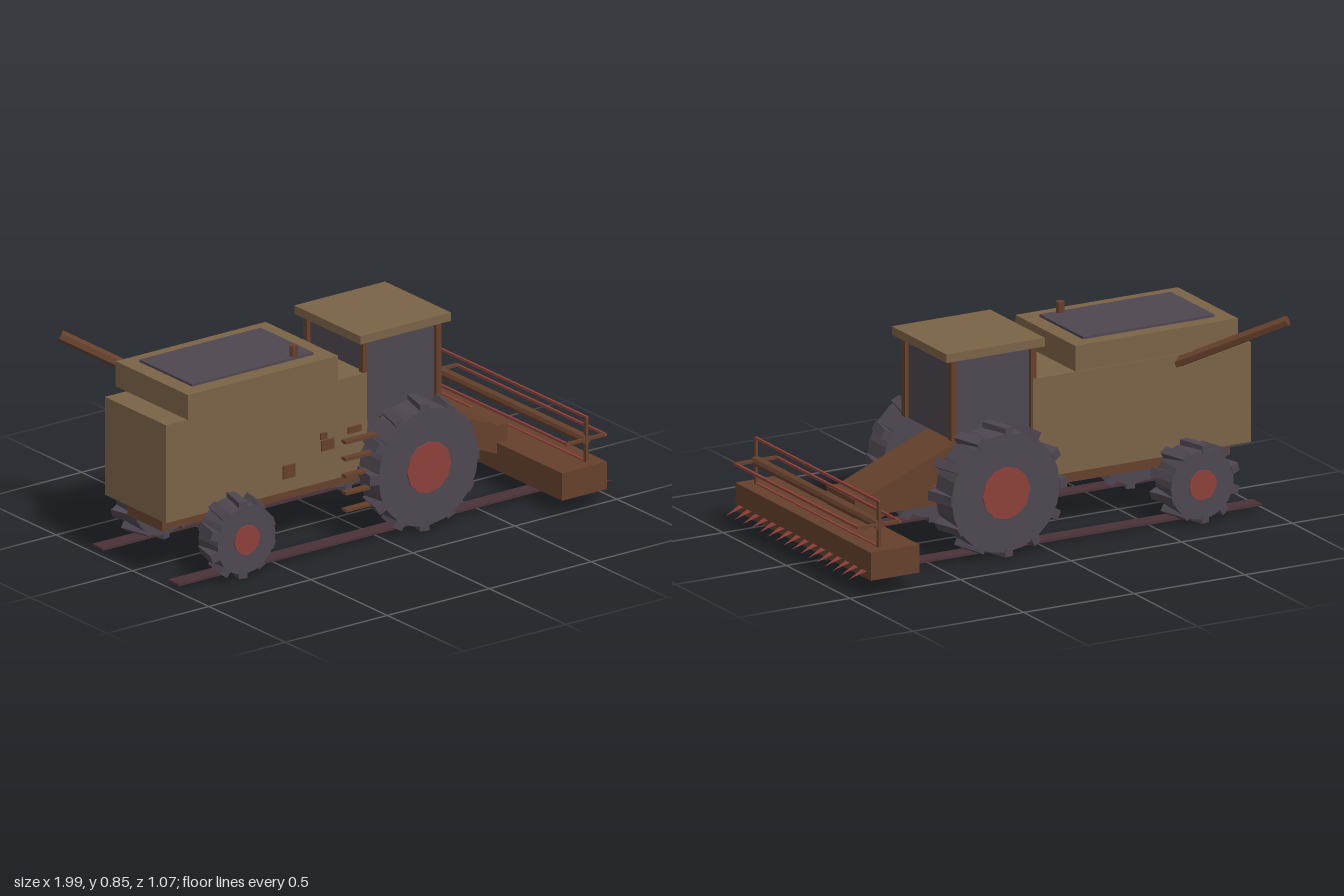
import * as THREE from 'three';

const mat = (name, color) => {
  const m = new THREE.MeshStandardMaterial({ color, flatShading: true });
  m.name = name;
  return m;
};

export function createModel() {
  const tan = mat('tan', 0x7a6246);
  const brown = mat('brown', 0x65402c);
  const slate = mat('slate', 0x4e4650);
  const red = mat('red', 0x8c403a);
  const maroon = mat('maroon', 0x4a3238);
  const tooth = mat('toothRed', 0x8a3c38);
  tooth.side = THREE.DoubleSide;

  const model = new THREE.Group();
  model.name = 'combineHarvester';

  const add = (name, geo, material, parent = model) => {
    const mesh = new THREE.Mesh(geo, material);
    mesh.name = name;
    parent.add(mesh);
    return mesh;
  };
  // Box given by its limits on each axis
  const box = (name, material, x0, x1, y0, y1, z0, z1, parent = model) => {
    const m = add(name, new THREE.BoxGeometry(x1 - x0, y1 - y0, z1 - z0), material, parent);
    m.position.set((x0 + x1) / 2, (y0 + y1) / 2, (z0 + z1) / 2);
    return m;
  };
  // Straight rod between two points
  const rod = (name, material, a, b, r, sides = 8, parent = model) => {
    const p = new THREE.Vector3(...a), q = new THREE.Vector3(...b);
    const d = q.clone().sub(p);
    const m = add(name, new THREE.CylinderGeometry(r, r, d.length(), sides), material, parent);
    m.position.copy(p).add(q).multiplyScalar(0.5);
    m.quaternion.setFromUnitVectors(new THREE.Vector3(0, 1, 0), d.normalize());
    return m;
  };

  // Body and chassis
  box('body', tan, -0.985, 0.0, 0.255, 0.665, -0.2, 0.2);
  box('chassis', brown, -0.94, 0.755, 0.185, 0.26, -0.113, 0.113);

  // Grain tank with dark lid
  box('grainTank', tan, -0.905, -0.17, 0.68, 0.785, -0.237, 0.237);
  box('tankLid', slate, -0.835, -0.24, 0.785, 0.795, -0.175, 0.17);
  rod('exhaust', brown, [-0.325, 0.66, 0.153], [-0.325, 0.84, 0.153], 0.017, 8);
  rod('unloadingAuger', brown, [-0.65, 0.625, -0.18], [-0.982, 0.833, -0.495], 0.023, 6);

  // Cab with corner posts and roof
  box('cabGlass', slate, 0.0, 0.35, 0.46, 0.797, -0.18, 0.18);
  for (const x of [-0.005, 0.355])
    for (const z of [-0.183, 0.183])
      box('cabPost', brown, x - 0.012, x + 0.012, 0.465, 0.797, z - 0.013, z + 0.013);
  box('cabRoof', tan, -0.045, 0.4, 0.797, 0.832, -0.216, 0.216);

  // Sloping feeder between cab and header
  const feederShape = new THREE.Shape([
    [0.29, 0.31], [0.71, 0.138], [0.76, 0.238], [0.34, 0.41], [0.29, 0.43],
  ].map(([x, y]) => new THREE.Vector2(x, y)));
  const feeder = add('feeder',
    new THREE.ExtrudeGeometry(feederShape, { depth: 0.22, bevelEnabled: false }), brown);
  feeder.position.z = -0.11;

  // Cutting header
  box('header', brown, 0.705, 0.925, 0.07, 0.185, -0.535, 0.535);

  // Row of flat pointed teeth
  const pts = [];
  for (let i = 0; i < 16; i++) {
    const z = 0.488 - i * 0.0647;
    pts.push(0.925, 0.1, z + 0.018, 0.925, 0.1, z - 0.018, 0.995, 0.072, z);
  }
  const teeth = new THREE.BufferGeometry();
  teeth.setAttribute('position', new THREE.Float32BufferAttribute(pts, 3));
  teeth.computeVertexNormals();
  add('cutterTeeth', teeth, tooth);

  // Reel: shaft, end crosses and four bars
  const reel = new THREE.Group();
  reel.name = 'reel';
  reel.position.set(0.86, 0.278, 0);
  model.add(reel);
  rod('reelShaft', brown, [0, 0, -0.49], [0, 0, 0.49], 0.021, 8, reel);
  for (const z of [-0.485, 0.485]) {
    box('reelSpoke', brown, -0.006, 0.006, -0.095, 0.095, z - 0.007, z + 0.007, reel);
    box('reelSpoke', brown, -0.095, 0.095, -0.006, 0.006, z - 0.007, z + 0.007, reel);
  }
  for (const [x, y] of [[0.093, 0], [-0.093, 0], [0, 0.093], [0, -0.093]])
    box('reelBar', red, x - 0.005, x + 0.005, y - 0.005, y + 0.005, -0.492, 0.492, reel);

  // Wheels with skewed lugs
  const wheel = (name, x, y, side, r, hubR, lugs, lugH, lugW, width) => {
    const g = new THREE.Group();
    g.name = name;
    g.position.set(x, y, side * 0.27);
    model.add(g);
    const tyre = add('tyre', new THREE.CylinderGeometry(r, r, width, 20), slate, g);
    tyre.rotation.x = Math.PI / 2;
    const hub = add('hub', new THREE.CylinderGeometry(hubR, hubR, width + 0.012, 12), red, g);
    hub.rotation.x = Math.PI / 2;
    for (let i = 0; i < lugs; i++) {
      const a = Math.PI / 2 + (i / lugs) * Math.PI * 2;
      const lug = add('lug', new THREE.BoxGeometry(lugH, lugW, width), slate, g);
      lug.position.set(Math.cos(a) * r, Math.sin(a) * r, 0);
      lug.rotation.set(0, -side * 0.25, a);
    }
  };
  for (const side of [-1, 1]) {
    wheel('frontWheel', 0.2, 0.265, side, 0.245, 0.107, 12, 0.04, 0.04, 0.13);
    wheel('rearWheel', -0.69, 0.16, side, 0.142, 0.062, 10, 0.036, 0.036, 0.125);
    // Ground strip beneath the wheels
    const z = side * 0.248;
    box('groundStrip', maroon, -0.985, 0.79, 0.015, 0.025, z - 0.034, z + 0.034);
  }

  // Ladder rungs on the right side
  for (let i = 0; i < 5; i++) {
    const y = 0.425 - i * 0.0713;
    box('ladderRung', brown, -0.155, 0.0, y - 0.006, y + 0.006, 0.24, 0.27);
  }
  // Small panels on the right side
  for (const [x0, x1, y0, y1] of [
    [-0.415, -0.357, 0.312, 0.366], [-0.225, -0.165, 0.387, 0.43],
    [-0.23, -0.2, 0.435, 0.462], [-0.095, -0.032, 0.43, 0.457],
  ]) box('sidePanel', brown, x0, x1, y0, y1, 0.199, 0.207);

  return model;
}
